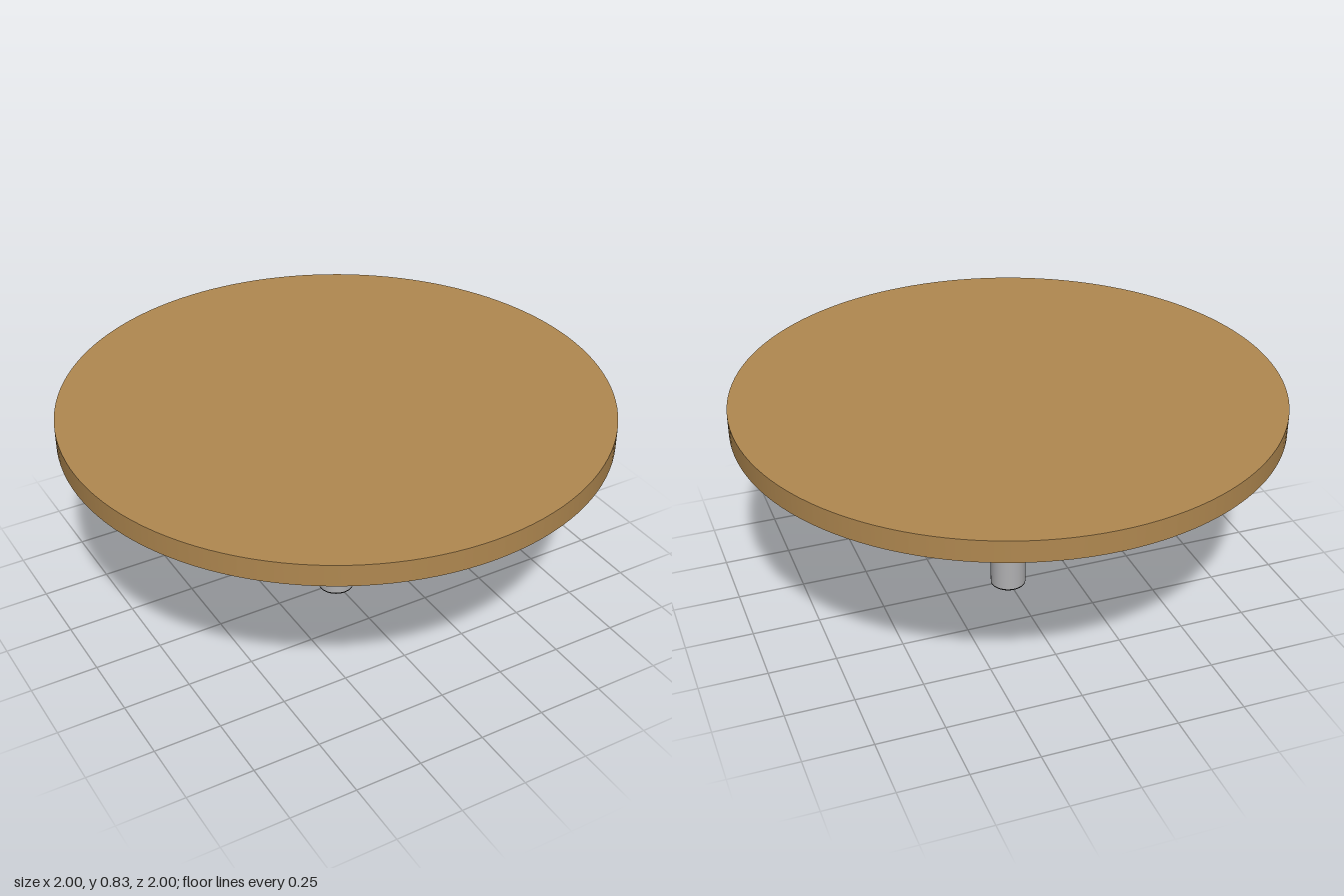
import * as THREE from 'three';

const CEILING = 0.81; // underside of the board inside the rim

export function createModel() {
  const wood = new THREE.MeshStandardMaterial({ color: 0xb08850 });
  wood.name = 'wood';
  const steel = new THREE.MeshStandardMaterial({ color: 0xb0b0b2 });
  steel.name = 'steel';
  const black = new THREE.MeshStandardMaterial({ color: 0x111111 });
  black.name = 'black metal';

  const group = new THREE.Group();
  group.name = 'roundTable';
  const add = (parent, name, geometry, material) => {
    const mesh = new THREE.Mesh(geometry, material);
    mesh.name = name;
    parent.add(mesh);
    return mesh;
  };

  // Round top: disc, outer edge, rim and recessed underside
  const disc = (radius) => new THREE.CircleGeometry(radius, 128);
  const top = new THREE.Group();
  top.name = 'tableTop';
  group.add(top);
  add(top, 'topFace', disc(1).rotateX(-Math.PI / 2).translate(0, 0.835, 0), wood);
  add(top, 'outerEdge', new THREE.CylinderGeometry(1, 1, 0.08, 128, 1, true).translate(0, 0.795, 0), wood);
  add(top, 'rimUnderside', new THREE.RingGeometry(0.945, 1, 128).rotateX(Math.PI / 2).translate(0, 0.755, 0), wood);
  add(top, 'underside', disc(0.945).rotateX(Math.PI / 2).translate(0, CEILING, 0), wood);
  // Lathe profile running downward so its faces point inward
  const innerProfile = [new THREE.Vector2(0.945, CEILING), new THREE.Vector2(0.945, 0.755)];
  add(top, 'innerEdge', new THREE.LatheGeometry(innerProfile, 128), wood);

  // Pole with a black foot cap
  add(group, 'pole', new THREE.CylinderGeometry(0.067, 0.067, 0.697, 48, 1, true).translate(0, 0.3535, 0), steel);
  add(group, 'footCap', new THREE.CylinderGeometry(0.067, 0.067, 0.005, 48).translate(0, 0.0025, 0), black);

  // Four-armed bracket under the board
  const bracket = new THREE.Group();
  bracket.name = 'bracket';
  group.add(bracket);
  add(bracket, 'hub', new THREE.CylinderGeometry(0.088, 0.069, 0.11, 48).translate(0, 0.755, 0), black);

  // Arm: a box tapered in width and depth toward the tip
  const armGeometry = new THREE.BoxGeometry(1, 1, 1);
  const p = armGeometry.attributes.position;
  for (let i = 0; i < p.count; i++) {
    const t = p.getX(i) + 0.5;
    const y = p.getY(i) > 0 ? CEILING : THREE.MathUtils.lerp(0.7, 0.803, t);
    const z = 2 * p.getZ(i) * THREE.MathUtils.lerp(0.04, 0.014, t);
    p.setXYZ(i, THREE.MathUtils.lerp(0.05, 0.49, t), y, z);
  }
  const armGeo = armGeometry.toNonIndexed();
  armGeo.computeVertexNormals();

  // Flat fixing tab with a screw hole
  const tabShape = new THREE.Shape().absarc(0, 0, 0.022, 0, Math.PI * 2);
  tabShape.holes.push(new THREE.Path().absarc(0, 0, 0.009, 0, Math.PI * 2, true));
  const tabGeo = new THREE.ExtrudeGeometry(tabShape, { depth: 0.007, bevelEnabled: false, curveSegments: 12 });
  tabGeo.rotateX(Math.PI / 2).translate(0, CEILING, 0);

  for (let i = 0; i < 4; i++) {
    const arm = new THREE.Group();
    arm.name = 'bracketArm' + (i + 1);
    arm.rotation.y = (i * Math.PI) / 2;
    bracket.add(arm);
    add(arm, 'web', armGeo, black);
    add(arm, 'tipTab', tabGeo, black).position.x = 0.507;
    add(arm, 'sideTab', tabGeo, black).position.set(0.185, 0, -0.042);
  }
  return group;
}
